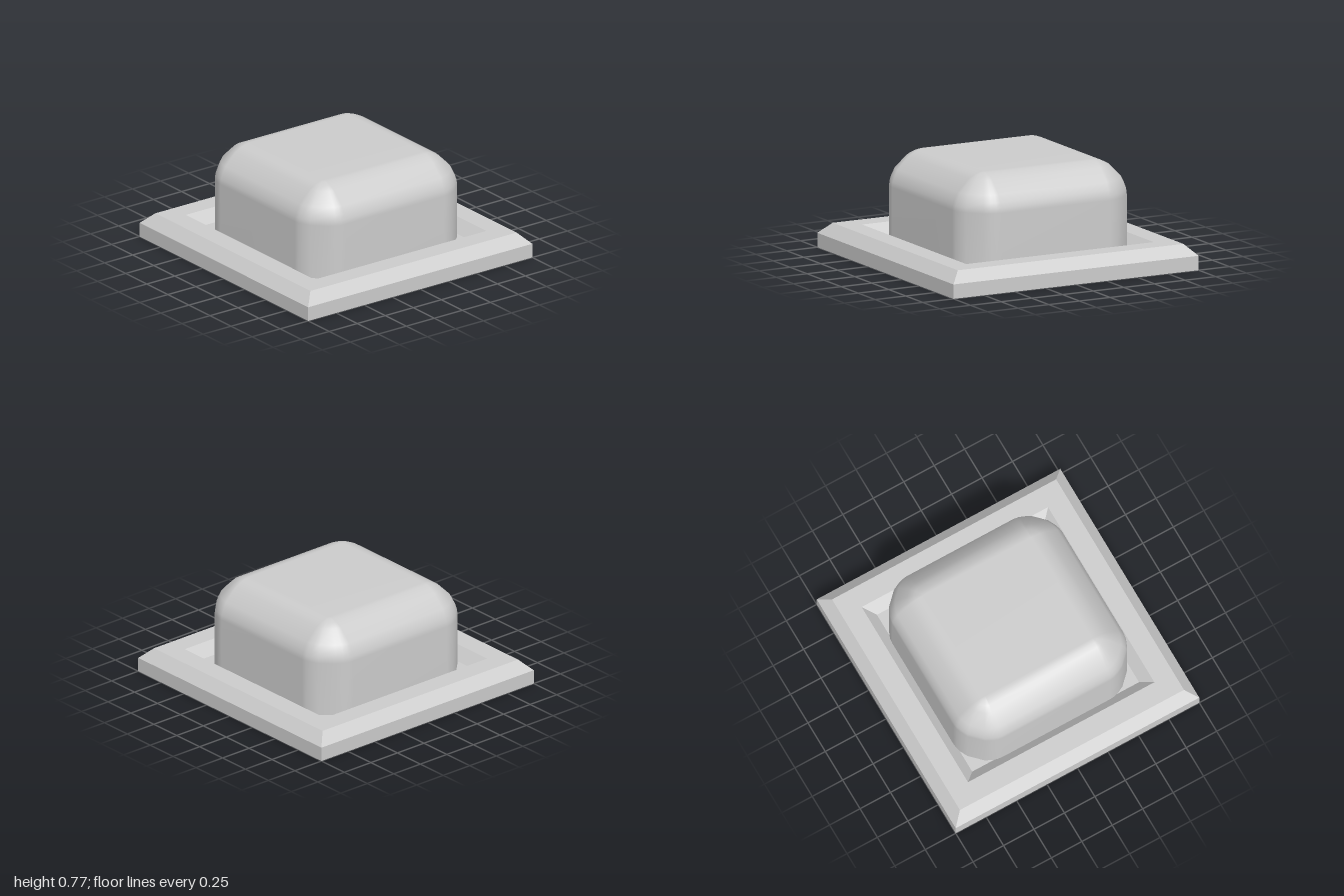
import * as THREE from 'three';
import { mergeVertices, toCreasedNormals } from 'three/addons/utils/BufferGeometryUtils.js';

// Softened chamfer used for both the plan corners and the upper edges (unit size)
const ARC = [[1, 0], [0.98, 0.14], [0.93, 0.28], [0.83, 0.48], [0.48, 0.83], [0.28, 0.93], [0.14, 0.98], [0, 1]];
const CORE = 0.44; // half width of the flat areas
const RADIUS = 0.26; // reach of the rounding
const SHOULDER = 0.51; // height where the rounding starts

// One rounded-square cross-section; w shrinks the corner rounding towards the top
function ring(w) {
  const pts = [];
  for (let k = 0; k < 4; k++) {
    const c = Math.round(Math.cos(k * Math.PI / 2));
    const s = Math.round(Math.sin(k * Math.PI / 2));
    for (const [a, b] of ARC) {
      const x = CORE + RADIUS * w * a;
      const z = CORE + RADIUS * w * b;
      pts.push([x * c - z * s, x * s + z * c]);
    }
  }
  return pts;
}

function capGeometry() {
  const levels = [[1, 0.1], ...ARC.map(([w, h]) => [w, SHOULDER + RADIUS * h])];
  const n = ARC.length * 4;
  const pos = [], idx = [];
  for (const [w, y] of levels) for (const [x, z] of ring(w)) pos.push(x, y, z);
  for (let i = 0; i < levels.length - 1; i++) {
    for (let j = 0; j < n; j++) {
      const a = i * n + j, b = i * n + (j + 1) % n;
      idx.push(a, a + n, b, b, a + n, b + n);
    }
  }
  // Flat top
  const centre = pos.length / 3, last = (levels.length - 1) * n;
  pos.push(0, SHOULDER + RADIUS, 0);
  for (let j = 0; j < n; j++) idx.push(last + j, centre, last + (j + 1) % n);

  const g = new THREE.BufferGeometry();
  g.setAttribute('position', new THREE.Float32BufferAttribute(pos, 3));
  g.setIndex(idx);
  const merged = mergeVertices(g);
  merged.computeVertexNormals();
  return merged;
}

// Square plinth: a four-sided lathe with bevelled rim and sunken middle
function plinthGeometry() {
  const profile = [[0, 0], [1, 0], [1, 0.105], [0.92, 0.185], [0.765, 0.185], [0.685, 0.105], [0, 0.105]];
  const g = new THREE.LatheGeometry(
    profile.map(([r, y]) => new THREE.Vector2(r * Math.SQRT2, y)), 4, Math.PI / 4);
  return toCreasedNormals(g, 0.3);
}

export function createModel() {
  const group = new THREE.Group();
  group.name = 'buttonOnPlinth';
  const material = new THREE.MeshStandardMaterial({ color: 0xcccccc });
  const add = (name, geometry) => {
    const mesh = new THREE.Mesh(geometry, material);
    mesh.name = name;
    group.add(mesh);
  };
  add('plinth', plinthGeometry());
  add('roundedButton', capGeometry());
  return group;
}
